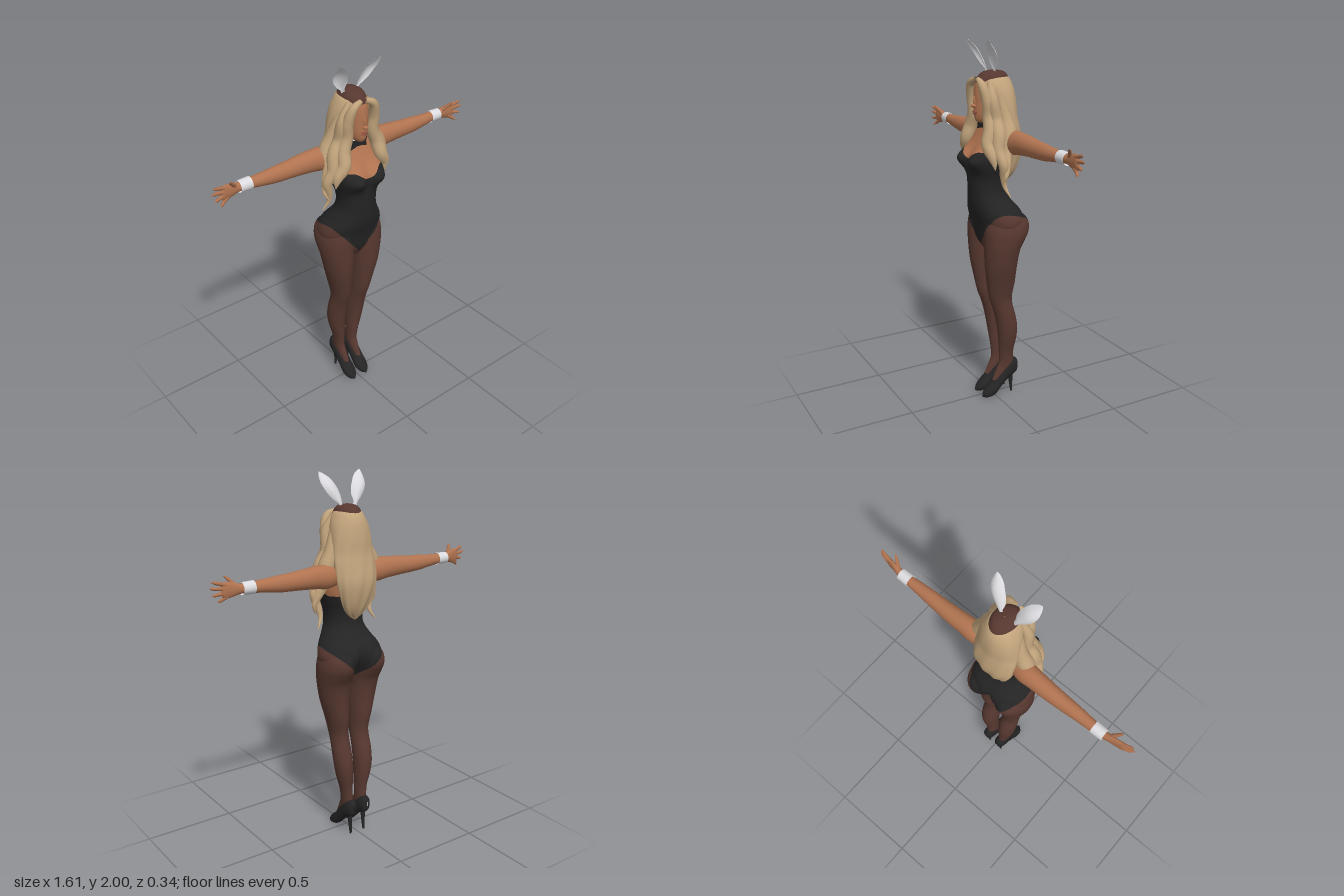
import * as THREE from 'three';

const mat = (name, color, side = THREE.FrontSide) =>
  Object.assign(new THREE.MeshStandardMaterial({ color, side }), { name });

// Smooth lookup in a table whose first column ascends.
const table = rows => t => {
  const n = rows.length;
  let i = 0;
  while (i < n - 2 && t > rows[i + 1][0]) i++;
  const a = rows[i], b = rows[i + 1], p = rows[Math.max(i - 1, 0)], q = rows[Math.min(i + 2, n - 1)];
  const h = b[0] - a[0], s = Math.min(1, Math.max(0, (t - a[0]) / h)), s2 = s * s, s3 = s2 * s;
  return a.slice(1).map((v, k) => {
    const m0 = (b[k + 1] - p[k + 1]) / (b[0] - p[0]), m1 = (q[k + 1] - v) / (q[0] - a[0]);
    return v * (2 * s3 - 3 * s2 + 1) + b[k + 1] * (3 * s2 - 2 * s3) + h * (m0 * (s3 - 2 * s2 + s) + m1 * (s3 - s2));
  });
};

// Skin a grid of points P(u, v); u wraps around when closed.
function surface(P, nu, nv, closed = true) {
  const pos = [], idx = [], cols = closed ? nu : nu + 1;
  for (let j = 0; j <= nv; j++) for (let i = 0; i < cols; i++) pos.push(...P(i / nu, j / nv));
  for (let j = 0; j < nv; j++) for (let i = 0; i < nu; i++) {
    const a = j * cols + i, b = j * cols + (i + 1) % cols;
    idx.push(a, a + cols, b, b, a + cols, b + cols);
  }
  const g = new THREE.BufferGeometry();
  g.setAttribute('position', new THREE.Float32BufferAttribute(pos, 3));
  g.setIndex(idx);
  g.computeVertexNormals();
  return g;
}

// Tube with a radius that varies along its path.
function taper(points, radii, seg = 30, sides = 10) {
  const curve = new THREE.CatmullRomCurve3(points.map(p => new THREE.Vector3(...p)));
  const g = new THREE.TubeGeometry(curve, seg, 1, sides, false), pos = g.attributes.position;
  const radius = table(radii.map((r, i) => [i / (radii.length - 1), r])), v = new THREE.Vector3();
  for (let i = 0; i < pos.count; i++) {
    const t = Math.floor(i / (sides + 1)) / seg, c = curve.getPointAt(t);
    v.fromBufferAttribute(pos, i).sub(c).multiplyScalar(Math.max(0.001, radius(t)[0])).add(c);
    pos.setXYZ(i, v.x, v.y, v.z);
  }
  return g;
}

const TAU = Math.PI * 2;
const gauss = (d, s) => Math.exp(-((d / s) ** 2));
const pow = (v, e) => Math.sign(v) * Math.abs(v) ** e;
const smooth = THREE.MathUtils.smoothstep;

// Upright section: rows are y, centre x, half width, front z, back z.
const upright = (rows, e = 1) => {
  const f = table(rows);
  return (u, y) => {
    const [cx, w, zf, zb] = f(y), a = u * TAU;
    return [cx + w * pow(Math.cos(a), e), y, (zf + zb) / 2 + (zf - zb) / 2 * pow(Math.sin(a), e)];
  };
};

// Height at which column u of a surface crosses a boundary line.
const crossing = (P, line, y0, y1) => u => {
  let lo = y0, hi = y1;
  for (let k = 0; k < 24; k++) {
    const y = (lo + hi) / 2, [x, , z] = P(u, y);
    if (y > line(Math.abs(x), z)) hi = y; else lo = y;
  }
  return (lo + hi) / 2;
};
const band = (P, low, high, nu, nv) => surface((u, v) => P(u, low(u) + (high(u) - low(u)) * v), nu, nv);

export function createModel() {
  const model = new THREE.Group();
  const skin = mat('skin', 0xb07350), tights = mat('tights', 0x573830), black = mat('black satin', 0x242425);
  const blonde = mat('blonde hair', 0xc2a47c, THREE.DoubleSide), white = mat('white', 0xdcdce0, THREE.DoubleSide);
  const lip = mat('lips', 0x8f5042);
  const add = (parent, name, geo, m) => {
    const mesh = new THREE.Mesh(geo, m);
    mesh.name = name;
    parent.add(mesh);
    return mesh;
  };
  const at = y => () => y;

  // Edges of the bodysuit
  const legLine = (x, z) => THREE.MathUtils.lerp(0.935 + 0.95 * x, 0.91 + 1.2 * x, smooth(z, -0.08, 0.04));
  const neckLine = (x, z) => THREE.MathUtils.lerp(1.378, 1.392 + 0.045 * smooth(x, 0, 0.085) - 0.03 * smooth(x, 0.11, 0.16), smooth(z, -0.03, 0.05));

  // Torso
  const trunk = upright([
    [0.88, 0, 0.05, 0.04, -0.06], [0.94, 0, 0.12, 0.075, -0.1], [1.0, 0, 0.168, 0.086, -0.145],
    [1.05, 0, 0.184, 0.097, -0.158], [1.1, 0, 0.168, 0.112, -0.143], [1.15, 0, 0.136, 0.12, -0.1],
    [1.2, 0, 0.111, 0.124, -0.068], [1.25, 0, 0.105, 0.127, -0.06], [1.3, 0, 0.113, 0.127, -0.065],
    [1.35, 0, 0.13, 0.125, -0.078], [1.4, 0, 0.144, 0.12, -0.088], [1.45, 0, 0.148, 0.1, -0.092],
    [1.5, 0, 0.148, 0.074, -0.092], [1.54, 0, 0.115, 0.054, -0.084], [1.57, 0, 0.062, 0.04, -0.066],
    [1.6, 0, 0.044, 0.036, -0.056], [1.66, 0, 0.042, 0.03, -0.056]], 0.88);
  const torso = (u, y) => {
    const p = trunk(u, y), s = Math.sin(u * TAU), x = Math.abs(p[0]);
    if (s > 0) p[2] += 0.056 * gauss(x - 0.075, 0.06) * gauss(y - 1.388, 0.055) * smooth(s, 0, 0.6);
    else p[2] += 0.035 * gauss(x, 0.022) * gauss(y - 1.0, 0.085);
    return p;
  };
  const hip = crossing(torso, legLine, 0.88, 1.22), chest = crossing(torso, neckLine, 1.22, 1.6);
  add(model, 'tightsHips', band(torso, at(0.88), hip, 72, 10), tights);
  add(model, 'bodysuit', band(torso, hip, chest, 72, 48), black);
  add(model, 'chestAndNeck', band(torso, chest, at(1.66), 72, 26), skin);

  // Head
  const head = upright([
    [1.575, 0, 0.012, 0.075, 0.02], [1.585, 0, 0.028, 0.09, 0], [1.605, 0, 0.043, 0.097, -0.03],
    [1.635, 0, 0.055, 0.1, -0.06], [1.68, 0, 0.064, 0.1, -0.085], [1.73, 0, 0.069, 0.099, -0.1],
    [1.78, 0, 0.069, 0.09, -0.1], [1.815, 0, 0.06, 0.07, -0.085], [1.835, 0, 0.04, 0.04, -0.06],
    [1.843, 0, 0.002, -0.008, -0.012]]);
  add(model, 'face', band(head, at(1.575), at(1.782), 40, 26), skin);
  add(model, 'scalp', band(head, at(1.782), at(1.843), 40, 14), tights);
  const blob = (name, m, [x, y, z], [a, b, c]) => {
    const o = add(model, name, new THREE.SphereGeometry(1, 16, 12), m);
    o.position.set(x, y, z);
    o.scale.set(a, b, c);
  };
  blob('noseBridge', skin, [0, 1.688, 0.096], [0.009, 0.03, 0.013]);
  blob('noseTip', skin, [0, 1.665, 0.104], [0.014, 0.01, 0.016]);
  blob('upperLip', lip, [0, 1.635, 0.099], [0.021, 0.005, 0.009]);
  blob('lowerLip', lip, [0, 1.626, 0.098], [0.018, 0.006, 0.009]);

  // Long hair down the back
  const mane = upright([
    [1.245, 0, 0.004, -0.07, -0.078], [1.275, 0, 0.045, -0.055, -0.1], [1.32, 0, 0.078, -0.05, -0.122],
    [1.39, 0, 0.104, -0.045, -0.142], [1.46, 0, 0.12, -0.03, -0.15], [1.55, 0, 0.123, 0, -0.138],
    [1.6, 0, 0.12, 0.028, -0.13], [1.68, 0, 0.112, 0.055, -0.126], [1.74, 0, 0.1, 0.074, -0.118],
    [1.78, 0, 0.083, 0.083, -0.106], [1.81, 0, 0.062, 0.06, -0.085], [1.825, 0, 0.03, 0.02, -0.05]]);
  add(model, 'backHair', surface((u, v) => {
    const y = 1.245 + 0.58 * v, p = mane(u, y), k = 1 + 0.025 * Math.sin(u * TAU * 9 + y * 14) * (1 - v);
    return [p[0] * k, y, p[2] * k];
  }, 72, 48), blonde);

  // Collar and bow tie
  const collar = add(model, 'collar', new THREE.CylinderGeometry(0.048, 0.052, 0.028, 32, 1, true), white);
  collar.position.set(0, 1.578, -0.008);
  const wing = new THREE.Shape([[0, -0.009], [0.05, -0.024], [0.044, 0], [0.05, 0.024], [0, 0.009]].map(p => new THREE.Vector2(...p)));
  const bow = new THREE.Group();
  bow.name = 'bowTie';
  bow.position.set(0, 1.56, 0.052);
  for (const r of [0, Math.PI]) {
    const g = new THREE.ExtrudeGeometry(wing, { depth: 0.014, bevelEnabled: false }).translate(0, 0, -0.007);
    add(bow, 'bowWing', g, black).rotation.z = r;
  }
  add(bow, 'bowKnot', new THREE.BoxGeometry(0.018, 0.022, 0.024), black);
  model.add(bow);

  // Parts that come in mirrored pairs
  const leg = upright([
    [0.1, 0.045, 0.022, 0.02, -0.09], [0.16, 0.045, 0.026, -0.008, -0.108], [0.2, 0.046, 0.028, -0.025, -0.112],
    [0.27, 0.05, 0.033, -0.022, -0.11], [0.35, 0.06, 0.045, -0.014, -0.12], [0.42, 0.065, 0.051, -0.004, -0.122],
    [0.5, 0.067, 0.052, 0.012, -0.107], [0.56, 0.067, 0.05, 0.03, -0.09], [0.61, 0.068, 0.051, 0.049, -0.085],
    [0.7, 0.077, 0.062, 0.066, -0.096], [0.8, 0.088, 0.077, 0.081, -0.1], [0.9, 0.094, 0.089, 0.087, -0.116],
    [0.95, 0.096, 0.093, 0.088, -0.143], [1.0, 0.096, 0.094, 0.088, -0.166], [1.06, 0.09, 0.084, 0.08, -0.158],
    [1.12, 0.08, 0.05, 0.05, -0.09]]);
  const thigh = crossing(leg, legLine, 0.85, 1.12);
  const shoe = table([
    [-0.142, 0.004, 0.155, 0.185], [-0.132, 0.024, 0.125, 0.207], [-0.1, 0.034, 0.105, 0.212],
    [-0.06, 0.035, 0.08, 0.185], [-0.02, 0.035, 0.042, 0.135], [0.01, 0.038, 0.014, 0.098],
    [0.04, 0.036, 0.004, 0.07], [0.065, 0.025, 0.003, 0.046], [0.085, 0.002, 0.008, 0.018]]);
  const arm = table([
    [0.1, 1.485, 0.05, -0.04, 0.045], [0.16, 1.488, 0.063, -0.043, 0.054], [0.22, 1.492, 0.059, -0.045, 0.05],
    [0.3, 1.492, 0.052, -0.047, 0.046], [0.38, 1.49, 0.046, -0.047, 0.041], [0.45, 1.49, 0.042, -0.046, 0.037],
    [0.52, 1.492, 0.034, -0.046, 0.032], [0.6, 1.495, 0.027, -0.048, 0.025], [0.65, 1.496, 0.024, -0.047, 0.02],
    [0.685, 1.497, 0.034, -0.043, 0.016], [0.72, 1.496, 0.04, -0.039, 0.013], [0.745, 1.494, 0.034, -0.036, 0.01],
    [0.752, 1.494, 0.004, -0.036, 0.003]]);
  const fingers = [
    [[0.67, 1.51, -0.04], [0.695, 1.537, -0.022], [0.718, 1.56, -0.004]],
    [[0.725, 1.522, -0.038], [0.765, 1.533, -0.033], [0.795, 1.54, -0.024]],
    [[0.73, 1.503, -0.037], [0.775, 1.508, -0.034], [0.806, 1.512, -0.026]],
    [[0.728, 1.485, -0.037], [0.765, 1.478, -0.032], [0.793, 1.473, -0.022]],
    [[0.715, 1.468, -0.038], [0.742, 1.452, -0.032], [0.762, 1.438, -0.02]]];
  const locks = [
    [[[0.012, 1.8, 0.085], [0.06, 1.775, 0.088], [0.083, 1.7, 0.072], [0.082, 1.62, 0.062], [0.105, 1.55, 0.066],
      [0.118, 1.48, 0.085], [0.15, 1.42, 0.075], [0.152, 1.35, 0.06]], [0.012, 0.026, 0.03, 0.034, 0.036, 0.03, 0.002]],
    [[[0.05, 1.79, 0.04], [0.095, 1.7, 0.045], [0.102, 1.6, 0.03], [0.14, 1.53, 0.035], [0.155, 1.45, 0.045],
      [0.182, 1.38, 0.03], [0.165, 1.31, 0.02], [0.16, 1.26, 0.01], [0.187, 1.205, -0.01]], [0.015, 0.03, 0.036, 0.036, 0.028, 0.017, 0.002]],
    [[[0.08, 1.72, 0], [0.112, 1.6, -0.02], [0.145, 1.52, -0.02], [0.15, 1.44, 0], [0.178, 1.37, 0.01],
      [0.192, 1.32, 0.02], [0.175, 1.28, 0.03]], [0.02, 0.034, 0.045, 0.036, 0.02, 0.002]]];
  const earSpine = new THREE.CatmullRomCurve3([[0.04, 1.825, -0.005], [0.055, 1.865, 0.002], [0.094, 1.935, 0.024], [0.128, 2, 0.078]]
    .map(p => new THREE.Vector3(...p)));
  const earWidth = table([[0, 0.01], [0.2, 0.013], [0.5, 0.036], [0.75, 0.035], [0.92, 0.017], [1, 0.001]]);

  for (const [side, s] of [['left', 1], ['right', -1]]) {
    const half = new THREE.Group();
    half.name = side + 'Side';
    half.scale.x = s;
    model.add(half);

    add(half, side + 'Leg', band(leg, at(0.1), thigh, 40, 56), tights);
    add(half, side + 'SuitSeat', band(leg, thigh, at(1.12), 40, 12), black);
    add(half, side + 'Shoe', surface((u, v) => {
      const z = -0.142 + 0.227 * v, [w, y0, y1] = shoe(z), a = -u * TAU;
      return [0.045 + w * pow(Math.cos(a), 0.85), (y0 + y1) / 2 + (y1 - y0) / 2 * Math.sin(a), z];
    }, 32, 36), black);
    const heel = add(half, side + 'Heel', new THREE.CylinderGeometry(0.015, 0.006, 0.13, 12), black);
    heel.position.set(0.045, 0.065, -0.1);
    heel.rotation.x = 0.08;

    add(half, side + 'Arm', surface((u, v) => {
      const x = 0.1 + 0.652 * v, [y, ry, z, rz] = arm(x), a = -u * TAU;
      return [x, y + ry * Math.cos(a), z + rz * Math.sin(a)];
    }, 28, 60), skin);
    fingers.forEach((p, i) => add(half, side + (i ? 'Finger' + i : 'Thumb'), taper(p, [0.011, 0.01, 0.009, 0.008, 0.002], 14, 8), skin));
    const cuff = add(half, side + 'Cuff', new THREE.CylinderGeometry(0.031, 0.033, 0.065, 28, 1, true).rotateZ(-Math.PI / 2), white);
    cuff.position.set(0.615, 1.495, -0.048);

    locks.forEach(([p, r], i) => add(half, side + 'HairLock' + (i + 1), taper(p, r, 44, 12), blonde));

    // Cupped rabbit ear on the headdress, set slightly off centre
    const ear = add(half, side + 'RabbitEar', surface((u, v) => {
      const c = earSpine.getPoint(v), w = earWidth(v)[0], k = 2 * u - 1;
      return [c.x + 0.9 * w * k, c.y - 0.38 * w * k, c.z + 0.45 * w * k * k - 0.25 * w * k];
    }, 12, 28, false), white);
    ear.position.x = -0.013 * s;
  }
  return model;
}
